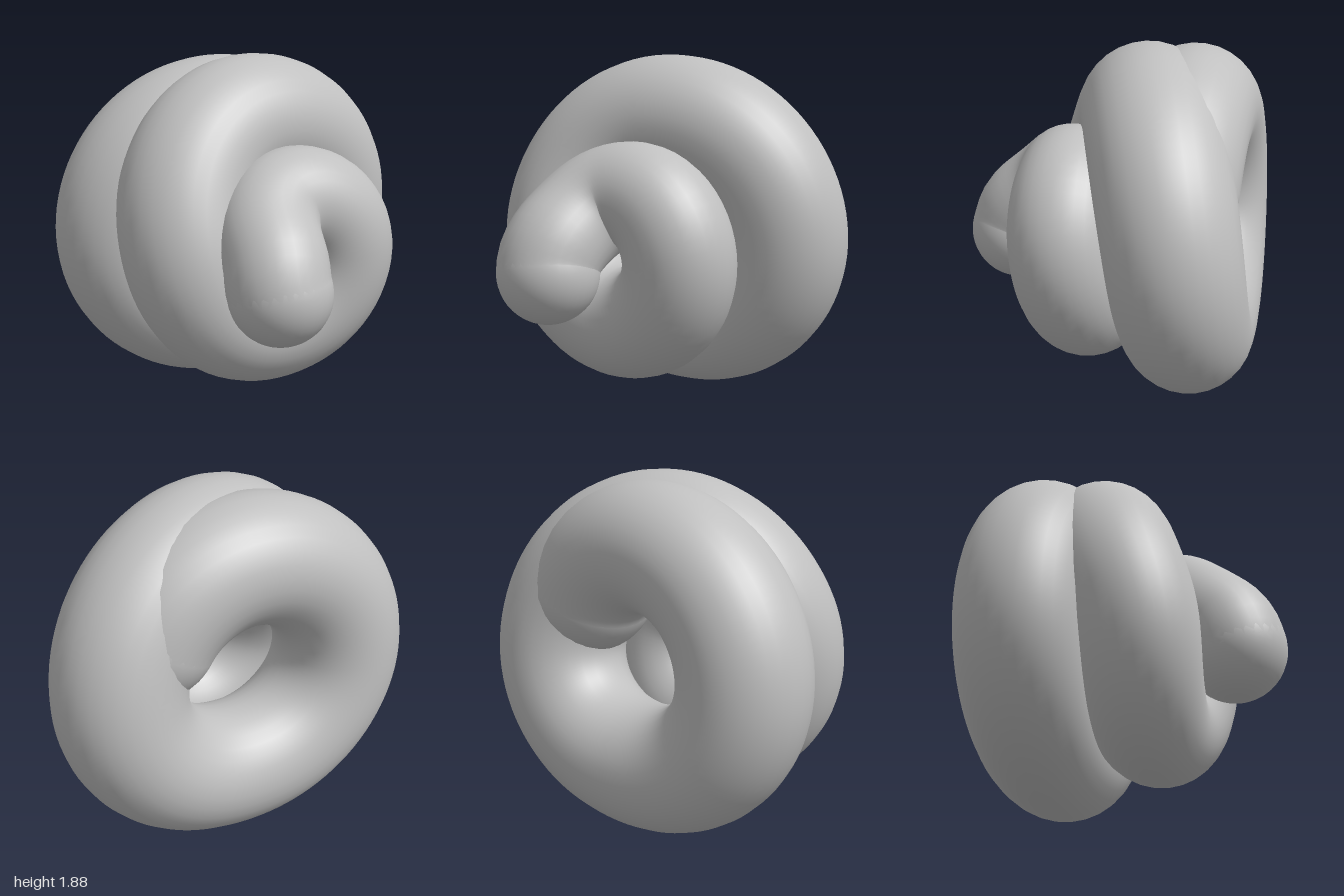
import * as THREE from 'three';

// One key per quarter turn, clockwise from the front: distance from axis, z, tube radius
const KEYS = [
  [0.3, 0.6, 0.275], [0.145, 0.5, 0.275], [0.235, 0.22, 0.285], [0.405, 0.165, 0.3],
  [0.46, 0.085, 0.31], [0.45, 0.07, 0.355], [0.62, -0.21, 0.37], [0.65, -0.455, 0.35],
  [0.55, -0.485, 0.335], [0.655, -0.45, 0.345], [0.625, -0.43, 0.345], [0.5, -0.4, 0.335],
];
const profile = new THREE.CatmullRomCurve3(KEYS.map((k) => new THREE.Vector3(...k)), false, 'catmullrom');
const AXIS_Y = 0.88;
const START = -0.48;
const END = 9.6;

// Helix around the z axis that widens towards the back
class Coil extends THREE.Curve {
  keyAt(t) {
    const q = START + t * (END - START);
    return { q, key: profile.getPoint((q + 1) / (KEYS.length - 1)) };
  }
  getPoint(t, target = new THREE.Vector3()) {
    const { q, key } = this.keyAt(t);
    const a = Math.PI - (q * Math.PI) / 2;
    return target.set(key.x * Math.cos(a), AXIS_Y + key.x * Math.sin(a), key.y);
  }
  radius(t) {
    return this.keyAt(t).key.z;
  }
}

export function createModel() {
  const group = new THREE.Group();
  group.name = 'spiralShell';
  const grey = new THREE.MeshStandardMaterial({ color: 0xc0c0c0 });
  grey.name = 'grey';

  const coil = new Coil();
  coil.arcLengthDivisions = 600;
  const rings = 200;
  const sides = 32;

  // Swept tube: each unit ring is scaled to its own radius
  const tube = new THREE.TubeGeometry(coil, rings, 1, sides, false);
  const pos = tube.attributes.position;
  const p = new THREE.Vector3();
  for (let i = 0; i <= rings; i++) {
    const t = coil.getUtoTmapping(i / rings);
    const centre = coil.getPoint(t);
    const r = coil.radius(t);
    for (let j = 0; j <= sides; j++) {
      const n = i * (sides + 1) + j;
      p.fromBufferAttribute(pos, n).sub(centre).multiplyScalar(r).add(centre);
      pos.setXYZ(n, p.x, p.y, p.z);
    }
  }
  const body = new THREE.Mesh(tube, grey);
  body.name = 'coiledTube';
  group.add(body);

  // Rounded ends
  for (const [name, t] of [['frontTip', 0], ['backEnd', 1]]) {
    const cap = new THREE.Mesh(new THREE.SphereGeometry(coil.radius(t), 32, 24), grey);
    cap.name = name;
    cap.position.copy(coil.getPoint(t));
    group.add(cap);
  }
  return group;
}
